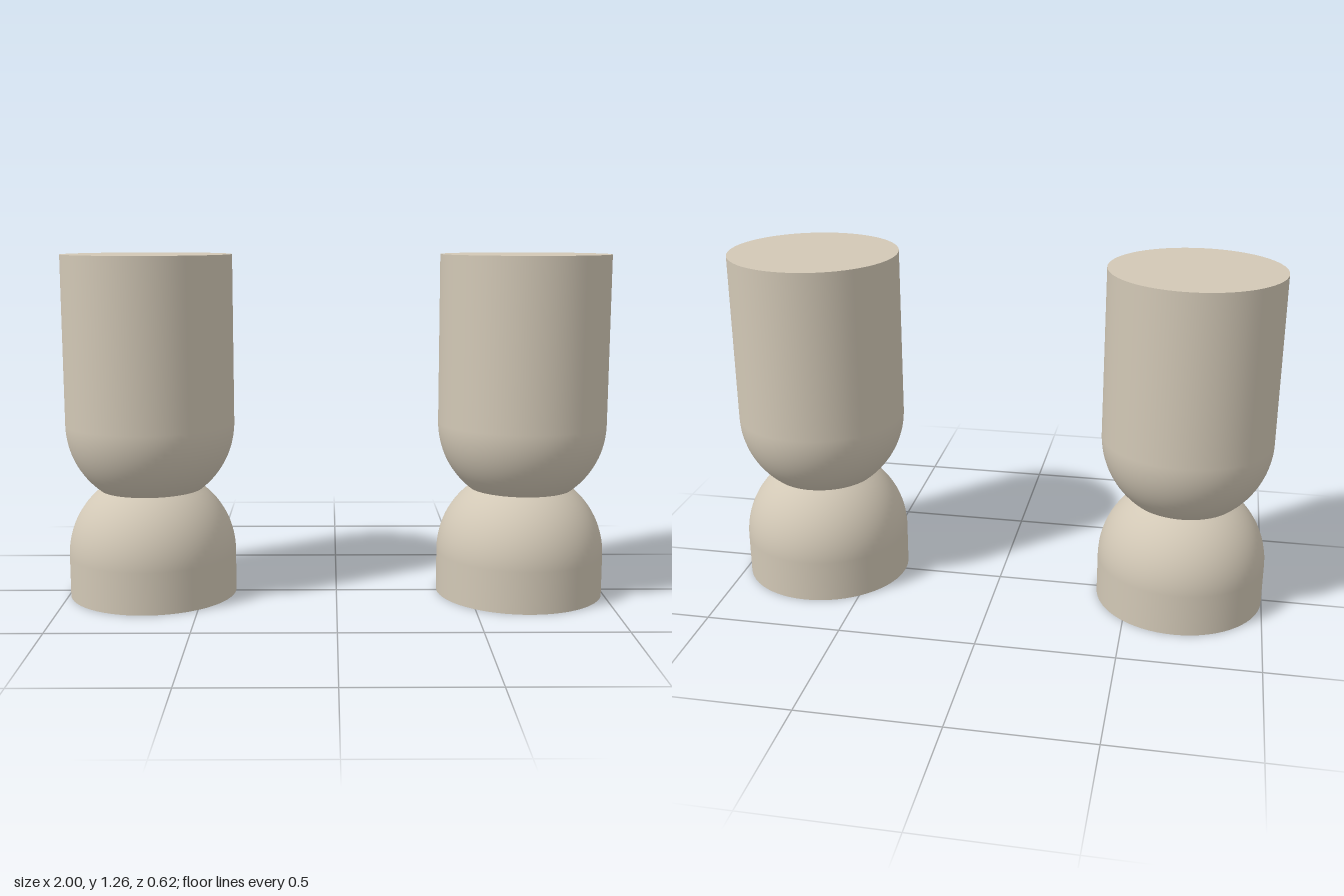
import * as THREE from 'three';

const R = 0.31;        // pedestal radius
const WAIST = 0.4;     // height where the two domes meet
const LOW = 0.155;     // centre of lower dome
const HIGH = 0.645;    // centre of upper dome
const TOP = 1.265;
const SEGMENTS = 64;

// Dome profile from the waist angle to the equator, rising in y
function arc(centerY, from, to, steps = 16) {
  return Array.from({ length: steps + 1 }, (_, i) => {
    const a = from + ((to - from) * i) / steps;
    return new THREE.Vector2(R * Math.cos(a), centerY + R * Math.sin(a));
  });
}

export function createModel() {
  const stone = new THREE.MeshStandardMaterial({ color: 0xd2c8b6 });
  stone.name = 'warm stone';
  const waistAngle = Math.asin((WAIST - LOW) / R);

  // Profiles run upwards so the lathed faces point outwards
  const baseGeo = new THREE.LatheGeometry(
    [new THREE.Vector2(R, 0), ...arc(LOW, 0, waistAngle)], SEGMENTS);
  const columnGeo = new THREE.LatheGeometry(
    [...arc(HIGH, -waistAngle, 0), new THREE.Vector2(R, TOP)], SEGMENTS);

  // Flat ends, kept separate for crisp rims
  const topGeo = new THREE.CircleGeometry(R, SEGMENTS).rotateX(-Math.PI / 2).translate(0, TOP, 0);
  const bottomGeo = new THREE.CircleGeometry(R, SEGMENTS).rotateX(Math.PI / 2);

  const model = new THREE.Group();
  model.name = 'pedestalPair';
  for (const side of [1, -1]) {
    const pedestal = new THREE.Group();
    pedestal.name = side > 0 ? 'leftPedestal' : 'rightPedestal';
    pedestal.position.x = side * (1 - R);
    const parts = { domedBase: baseGeo, roundedColumn: columnGeo, topFace: topGeo, bottomFace: bottomGeo };
    for (const [name, geometry] of Object.entries(parts)) {
      const mesh = new THREE.Mesh(geometry, stone);
      mesh.name = name;
      pedestal.add(mesh);
    }
    model.add(pedestal);
  }
  return model;
}
